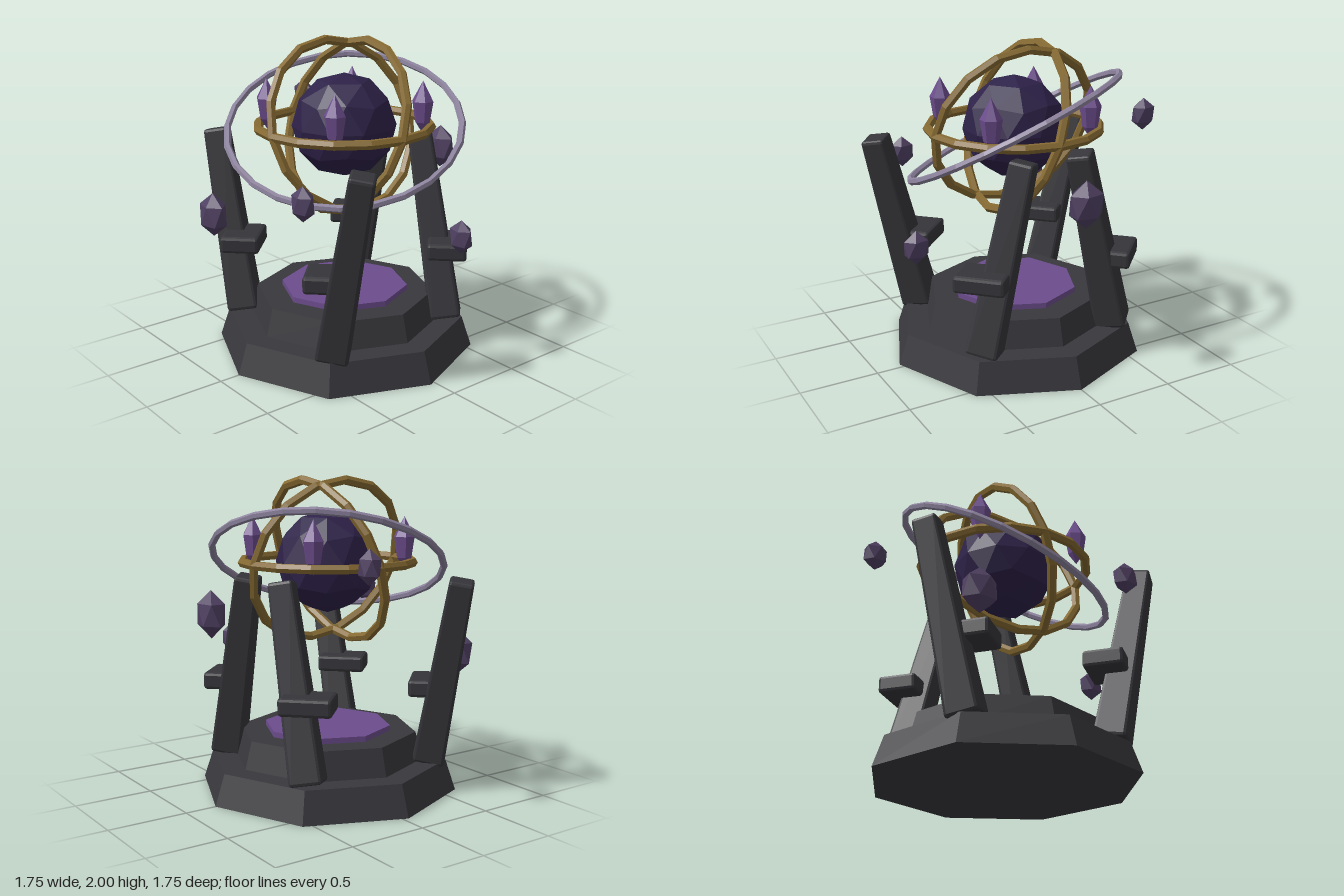
import * as THREE from 'three';
import { RoundedBoxGeometry } from 'three/addons/geometries/RoundedBoxGeometry.js';

const mat = (name, color) => {
  const m = new THREE.MeshStandardMaterial({ color });
  m.name = name;
  return m;
};

// Faceted copy of a geometry
const facet = (g) => {
  const f = g.index ? g.toNonIndexed() : g;
  f.computeVertexNormals();
  return f;
};

// Icosahedron with a vertex at each pole
const poleIco = (r, detail) =>
  facet(new THREE.IcosahedronGeometry(r, detail)
    .rotateX(-Math.atan((1 + Math.sqrt(5)) / 2)).rotateY(Math.PI / 2));

// Chamfered pillar standing on y = 0, narrowing towards the top
function pillarGeometry(width, height, topScale) {
  const g = new RoundedBoxGeometry(width, height, width, 1, 0.02);
  g.translate(0, height / 2, 0);
  const p = g.attributes.position;
  for (let i = 0; i < p.count; i++) {
    const k = 1 + (topScale - 1) * p.getY(i) / height;
    p.setX(i, p.getX(i) * k);
    p.setZ(i, p.getZ(i) * k);
  }
  return facet(g);
}

export function createModel() {
  const model = new THREE.Group();
  model.name = 'orbPedestal';
  const body = new THREE.Group();
  body.name = 'pedestalBody';
  body.position.z = 0.035;
  model.add(body);

  const stone = mat('darkStone', 0x38383d);
  const pillarStone = mat('pillarStone', 0x35353a);
  const violet = mat('violetCrystal', 0x6b4c8c);
  const dusk = mat('duskCrystal', 0x4f4062);
  const orbDark = mat('deepPurple', 0x2e2249);
  const gold = mat('agedGold', 0x866a32);
  const silver = mat('lilacSilver', 0x8d839e);

  const add = (name, geometry, material, x = 0, y = 0, z = 0, parent = body) => {
    const m = new THREE.Mesh(geometry, material);
    m.name = name;
    m.position.set(x, y, z);
    parent.add(m);
    return m;
  };

  // Octagonal stepped base with an inlaid disc
  const tier = (name, top, bottom, y0, y1, material) =>
    add(name, facet(new THREE.CylinderGeometry(top, bottom, y1 - y0, 8)), material, 0, (y0 + y1) / 2);
  tier('lowerTier', 0.77, 0.835, 0, 0.195, stone);
  tier('upperTier', 0.575, 0.62, 0.195, 0.37, stone);
  tier('violetDisc', 0.41, 0.41, 0.37, 0.405, violet);

  // Pillars: the front pair leans outwards, the back pair inwards
  const pillar = pillarGeometry(0.205, 1.207, 0.73);
  const block = facet(new RoundedBoxGeometry(0.32, 0.11, 0.25, 1, 0.02));
  for (const sx of [-1, 1]) {
    for (const sz of [-1, 1]) {
      const lean = new THREE.Group();
      lean.name = sz > 0 ? 'frontPillar' : 'backPillar';
      lean.position.set(sx * 0.47, 0.2, sz * 0.467);
      lean.rotation.z = -sx * sz * 0.232;
      body.add(lean);
      add('pillarShaft', pillar, pillarStone, 0, 0, 0, lean).rotation.y = Math.PI / 4;
      add('pillarBlock', block, pillarStone, sx * 0.467, 0.685, sz * 0.467)
        .rotation.y = Math.atan2(sx, sz);
    }
  }

  // Orb
  const cy = 1.46;
  add('orb', poleIco(0.328, 1), orbDark, 0, cy);

  // Three gold rings and one wide tilted ring
  const ring = facet(new THREE.TorusGeometry(0.543, 0.03, 6, 16));
  add('levelRing', ring, gold, 0, cy).rotation.x = Math.PI / 2;
  add('frontRing', ring, gold, 0, cy).rotation.x = -0.35;
  add('sideRing', ring, gold, 0, cy).rotation.set(0, Math.PI / 2, 0.35, 'ZYX');
  const wide = facet(new THREE.TorusGeometry(0.735, 0.023, 6, 24).rotateX(Math.PI / 2));
  add('wideRing', wide, silver, 0, cy).rotation.set(0.36, 0, -0.34);

  // Upright crystals around the orb
  const spike = facet(new THREE.LatheGeometry(
    [[0, -0.04], [0.048, 0.03], [0.068, 0.16], [0, 0.287]].map(([x, y]) => new THREE.Vector2(x, y)), 6));
  for (const sx of [-1, 1]) {
    for (const sz of [-1, 1]) add('uprightCrystal', spike, violet, sx * 0.344, cy, sz * 0.344);
  }

  // Floating shards: x, y, z, half height
  const shard = poleIco(1, 0);
  for (const [x, y, z, h] of [
    [0, 1.19, -0.84, 0.145],
    [0.8, 0.88, -0.25, 0.105],
    [0.48, 1.19, 0.68, 0.105],
    [-0.5, 0.88, 0.67, 0.143],
    [-0.795, 1.5, -0.275, 0.105],
  ]) add('floatingShard', shard, dusk, x, y, z).scale.set(h * 0.83, h, h * 0.6);

  return model;
}
